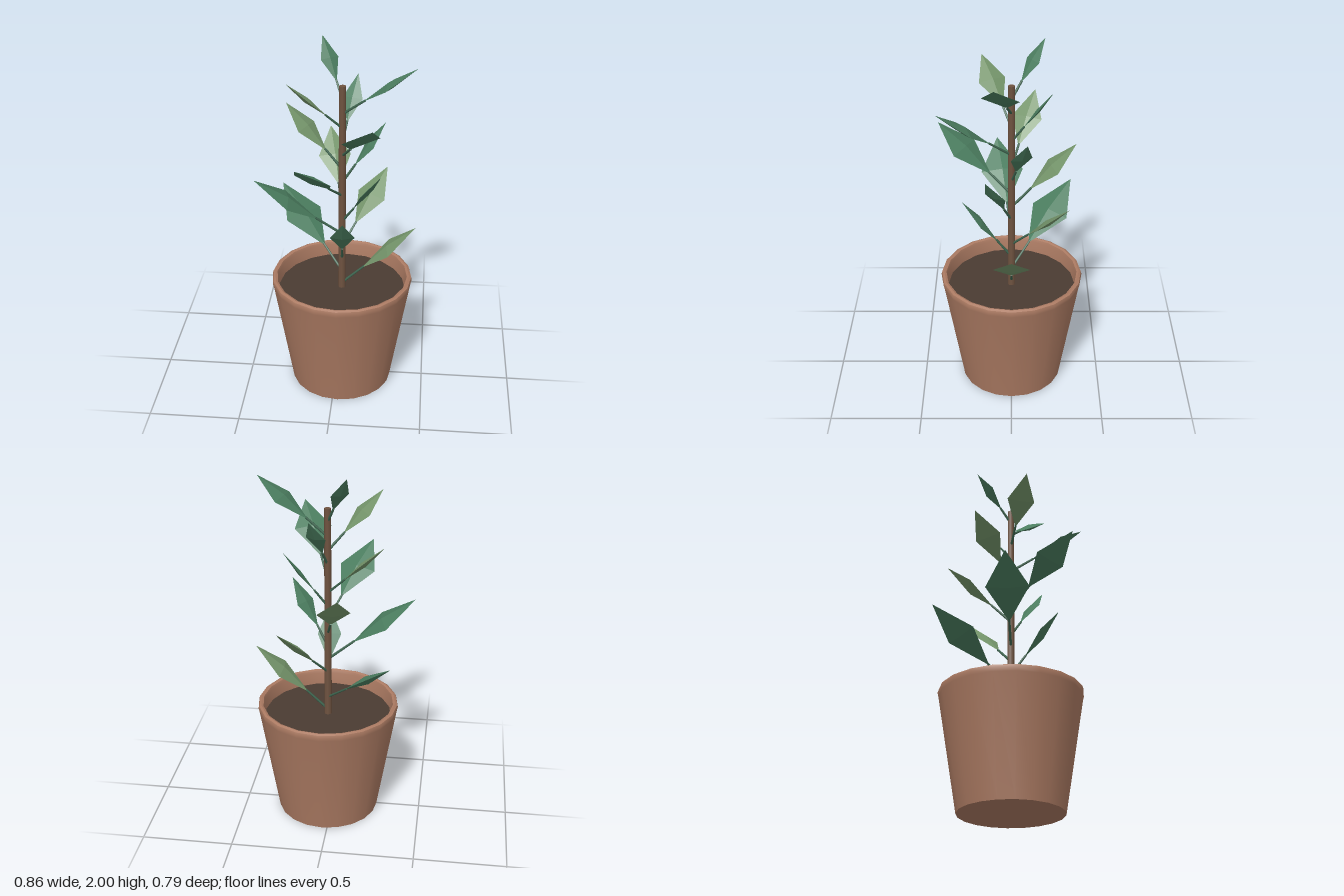
import * as THREE from 'three';
import { toCreasedNormals } from 'three/addons/utils/BufferGeometryUtils.js';

const mat = (color, extra = {}) => new THREE.MeshStandardMaterial({ color, ...extra });

const LEAF_COUNT = 15;
const GOLDEN_ANGLE = THREE.MathUtils.degToRad(137.5);
const REACH = [0.4, 0.508, 0.276]; // horizontal reach, repeating every three leaves

export function createModel() {
  const root = new THREE.Group();
  const plant = new THREE.Group();
  plant.name = 'pottedPlant';
  plant.position.x = 0.03;
  root.add(plant);

  const add = (name, geometry, material, parent = plant) => {
    const mesh = new THREE.Mesh(geometry, material);
    mesh.name = name;
    parent.add(mesh);
    return mesh;
  };

  // Tapered pot with a rounded lip
  const profile = [
    [0, 0], [0.283, 0], [0.387, 0.63], [0.392, 0.65], [0.388, 0.664], [0.376, 0.67],
    [0.364, 0.665], [0.359, 0.65], [0.352, 0.57],
  ].map(([r, y]) => new THREE.Vector2(r, y));
  const pot = toCreasedNormals(new THREE.LatheGeometry(profile, 20), 0.8);
  add('pot', pot, mat(0xab7a62, { side: THREE.DoubleSide }));

  // Soil disc
  const soil = add('soil', new THREE.CylinderGeometry(0.357, 0.35, 0.03, 20), mat(0x4a3b32));
  soil.position.y = 0.57;

  // Stem
  const stem = add('stem', new THREE.CylinderGeometry(0.018, 0.021, 1.21, 8), mat(0x6f5340));
  stem.position.y = 1.185;

  // Leaves spiral up the stem, shrinking toward the top
  const green = mat(0x4b7d5f, { flatShading: true });
  const lightGreen = mat(0x74946a, { flatShading: true });
  const stalkGreen = mat(0x3f6650);
  const blade = new THREE.OctahedronGeometry(1, 0);
  for (let i = 0; i < LEAF_COUNT; i++) {
    const reach = REACH[i % 3] * (1 - 0.0177 * i);
    const rise = 0.371 - 0.0062 * i;
    const length = Math.hypot(reach, rise);

    const leaf = new THREE.Group();
    leaf.name = 'leaf';
    leaf.position.y = 0.609 + 0.079 * i;
    leaf.rotation.set(0, GOLDEN_ANGLE * i, Math.atan2(rise, reach));
    plant.add(leaf);

    const stalk = add('leafStalk', new THREE.CylinderGeometry(0.006, 0.0075, length * 0.31, 6), stalkGreen, leaf);
    stalk.rotation.z = -Math.PI / 2;
    stalk.position.x = length * 0.155;

    const leafBlade = add('leafBlade', blade, i % 3 === 0 ? lightGreen : green, leaf);
    leafBlade.position.x = length * 0.64;
    leafBlade.scale.set(length * 0.36, reach * 0.045, reach * 0.249);
  }
  return root;
}
